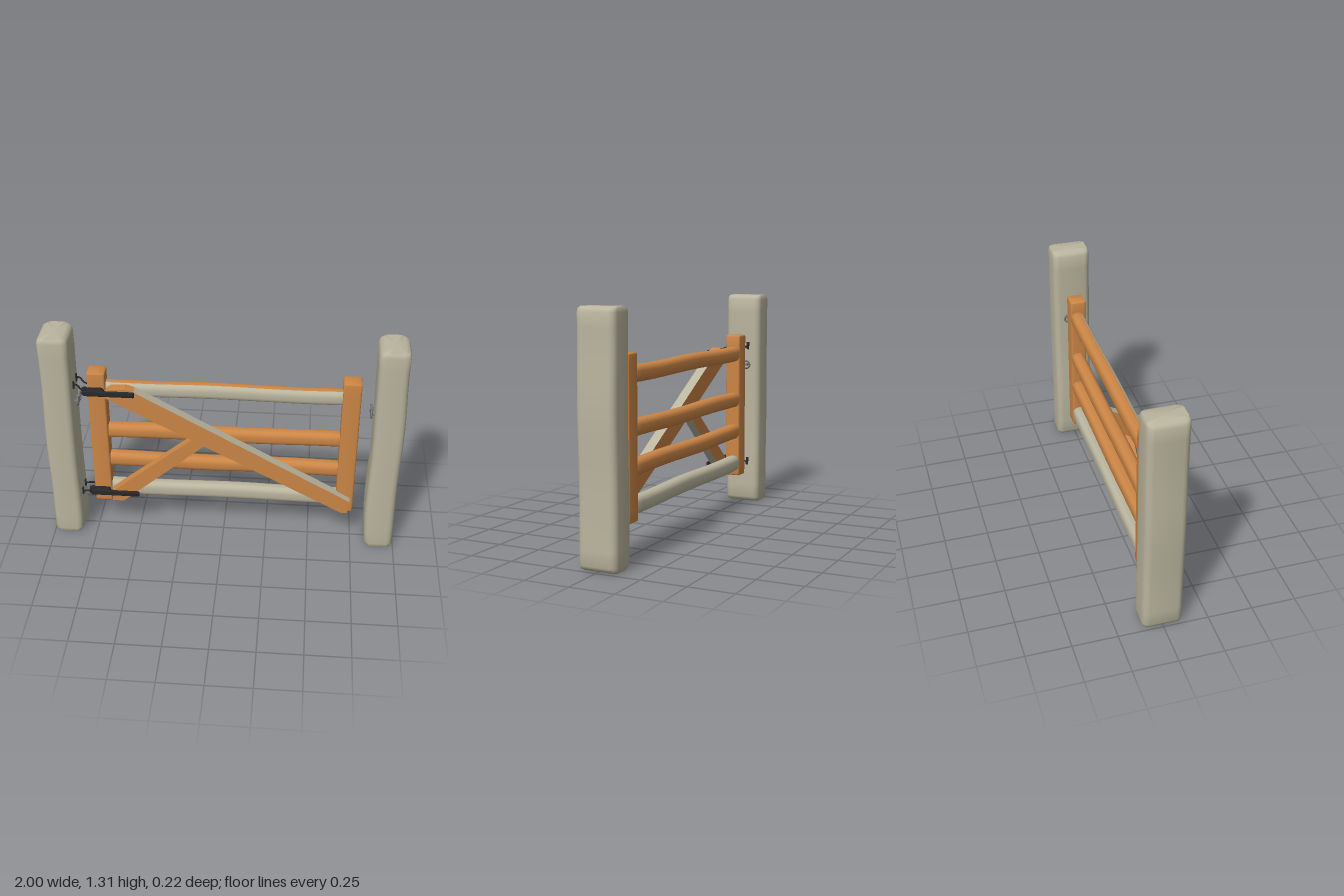
import * as THREE from 'three';
import { toCreasedNormals } from 'three/addons/utils/BufferGeometryUtils.js';
import { RoundedBoxGeometry } from 'three/addons/geometries/RoundedBoxGeometry.js';

const material = (name, color) => {
  const m = new THREE.MeshStandardMaterial({ color });
  m.name = name;
  return m;
};

// Closed timber beam along y: rounded-rectangle rings with a gentle wave
function beam(w, d, len, r, bevel, wave = 0, phase = 0, steps = 16) {
  const section = [];
  for (let c = 0; c < 4; c++) {
    const cx = (c === 0 || c === 3 ? 1 : -1) * (w / 2 - r);
    const cz = (c < 2 ? 1 : -1) * (d / 2 - r);
    for (let k = 0; k <= 4; k++) {
      const a = (c + k / 4) * Math.PI / 2;
      section.push([cx + r * Math.cos(a), cz + r * Math.sin(a)]);
    }
  }
  const n = section.length, pos = [], index = [];
  const levels = [[0, 1], [bevel * 0.35, 0.3]];
  for (let j = 0; j <= steps; j++) levels.push([bevel + (len - 2 * bevel) * j / steps, 0]);
  levels.push([len - bevel * 0.35, 0.3], [len, 1]);
  levels.forEach(([y, inset]) => {
    const t = y / len;
    const off = wave * Math.sin(t * 9 + phase);
    const swell = 1 + wave * 4 * Math.sin(t * 14 + phase * 2);
    const sx = swell * (1 - inset * bevel * 2 / w), sz = 1 - inset * bevel * 0.5 / d;
    section.forEach(([x, z]) => pos.push(x * sx + off, y - len / 2, z * sz));
  });
  const last = levels.length - 1;
  for (let j = 0; j < last; j++) {
    for (let i = 0; i < n; i++) {
      const a = j * n + i, c = j * n + (i + 1) % n;
      index.push(a, a + n, c, c, a + n, c + n);
    }
  }
  const base = pos.length / 3;
  pos.push(0, -len / 2, 0, 0, len / 2, 0);
  for (let i = 0; i < n; i++) {
    const k = (i + 1) % n;
    index.push(base, i, k, base + 1, last * n + k, last * n + i);
  }
  const g = new THREE.BufferGeometry();
  g.setAttribute('position', new THREE.Float32BufferAttribute(pos, 3));
  g.setIndex(index);
  return toCreasedNormals(g, 0.7);
}

// Give triangles whose normal passes the test the second material
function paint(geometry, test) {
  const g = geometry.index ? geometry.toNonIndexed() : geometry;
  g.clearGroups();
  const p = g.attributes.position, tri = new THREE.Triangle(), normal = new THREE.Vector3();
  let start = 0, current = -1;
  for (let i = 0; i < p.count; i += 3) {
    tri.setFromAttributeAndIndices(p, i, i + 1, i + 2).getNormal(normal);
    const m = test(normal) ? 1 : 0;
    if (m !== current) {
      if (i > start) g.addGroup(start, i - start, current);
      start = i;
      current = m;
    }
  }
  g.addGroup(start, p.count - start, current);
  return g;
}

// Flat board cut from an outline in the xy plane
function board(points, z0, z1) {
  const s = new THREE.Shape(points.map(([x, y]) => new THREE.Vector2(x, y)));
  const g = new THREE.ExtrudeGeometry(s, { depth: z1 - z0, bevelEnabled: false });
  return g.translate(0, 0, z0);
}

export function createModel() {
  const root = new THREE.Group();
  root.name = 'fieldGate';
  const fresh = material('freshTimber', 0xcc8646);
  const weathered = material('weatheredTimber', 0xbab59e);
  const iron = material('blackIron', 0x28282a);
  const steel = material('dullSteel', 0x77777a);

  const add = (parent, name, geometry, mat, x = 0, y = 0, z = 0) => {
    const m = new THREE.Mesh(geometry, mat);
    m.name = name;
    m.position.set(x, y, z);
    parent.add(m);
    return m;
  };

  // Gate posts
  add(root, 'rightPost', beam(0.167, 0.22, 1.31, 0.035, 0.028, 0.003, 0.4), weathered, -0.914, 0.655);
  add(root, 'leftPost', beam(0.167, 0.22, 1.31, 0.035, 0.028, 0.004, 2.6), weathered, 0.911, 0.655);

  // Gate leaf
  const gate = new THREE.Group();
  gate.name = 'gate';
  root.add(gate);
  for (const [name, x] of [['hingeStile', -0.703], ['latchStile', 0.702]]) {
    add(gate, name, beam(0.1, 0.09, 0.87, 0.01, 0.008), fresh, x, 0.633, -0.01);
  }

  // Horizontal rails; the top one is weathered on its front face only
  [0.957, 0.674, 0.472, 0.275].forEach((y, i) => {
    let g = beam(i === 3 ? 0.096 : 0.09, 0.075, 1.34, 0.032, 0.005, 0.003, i * 1.9 + 0.5, 24);
    if (i === 0) g = paint(g, n => n.z > 0.4);
    const mat = [[fresh, weathered], fresh, fresh, weathered][i];
    add(gate, 'rail' + (i + 1), g, mat, 0, y, -0.017).rotation.z = -Math.PI / 2;
  });

  // Braces, each with one weathered edge
  const long = board([[-0.65, 0.94], [0.69, 0.215], [0.72, 0.22], [0.73, 0.3],
    [-0.49, 0.985], [-0.54, 1.0], [-0.62, 0.995], [-0.65, 0.97]], 0.018, 0.075);
  add(gate, 'longBrace', paint(long, n => n.y > 0.5 && n.x > 0.35), [fresh, weathered]);
  const short = board([[-0.645, 0.225], [-0.58, 0.225], [-0.1, 0.647], [-0.17, 0.685], [-0.645, 0.29]], 0.018, 0.07);
  add(gate, 'shortBrace', paint(short, n => n.x > 0.3 && n.y < -0.3), [fresh, weathered]);

  // Strap hinges, the lower one flipped
  for (const [name, y, flip] of [['upperHinge', 0.97, 1], ['lowerHinge', 0.287, -1]]) {
    const hinge = new THREE.Group();
    hinge.name = name;
    hinge.position.y = y;
    hinge.scale.y = flip;
    root.add(hinge);
    add(hinge, 'strap', new RoundedBoxGeometry(0.28, 0.034, 0.016, 3, 0.007), iron, -0.625, 0, 0.08);
    add(hinge, 'strapSleeve', new RoundedBoxGeometry(0.1, 0.042, 0.045, 3, 0.015), iron, -0.705, 0, 0.062);
    add(hinge, 'strapEye', new THREE.CylinderGeometry(0.018, 0.018, 0.036, 16), iron, -0.762, 0, 0.058);
    for (const x of [-0.66, -0.58, -0.51]) {
      add(hinge, 'bolt', new THREE.SphereGeometry(0.009, 10, 8), iron, x, 0, 0.087);
    }
    // Bent hook rods and their plates on the post
    for (const [z0, z1] of [[0.04, 0.062], [-0.04, -0.02]]) {
      const path = new THREE.CatmullRomCurve3([
        new THREE.Vector3(-0.832, 0.03, z0), new THREE.Vector3(-0.805, 0.024, z0),
        new THREE.Vector3(-0.775, 0.006, z1), new THREE.Vector3(-0.74, 0.002, z1)]);
      add(hinge, 'hookRod', new THREE.TubeGeometry(path, 16, 0.005, 8), iron);
      add(hinge, 'hookPlate', new THREE.BoxGeometry(0.008, 0.045, 0.014), iron, -0.825, 0.025, z0);
    }
  }

  // Paired latch rings on the inner face of each post
  for (const side of [-1, 1]) {
    const latch = new THREE.Group();
    latch.name = side < 0 ? 'rightLatchRings' : 'leftLatchRings';
    root.add(latch);
    for (const z of [-0.034, 0.018]) {
      const ring = add(latch, 'ring', new THREE.TorusGeometry(0.022, 0.006, 8, 24), steel, side * 0.813, 0.877, z);
      ring.rotation.y = Math.PI / 2;
      const stud = add(latch, 'ringStud', new THREE.CylinderGeometry(0.008, 0.008, 0.03, 12), steel, side * 0.822, 0.877, z);
      stud.rotation.z = Math.PI / 2;
    }
  }
  return root;
}
